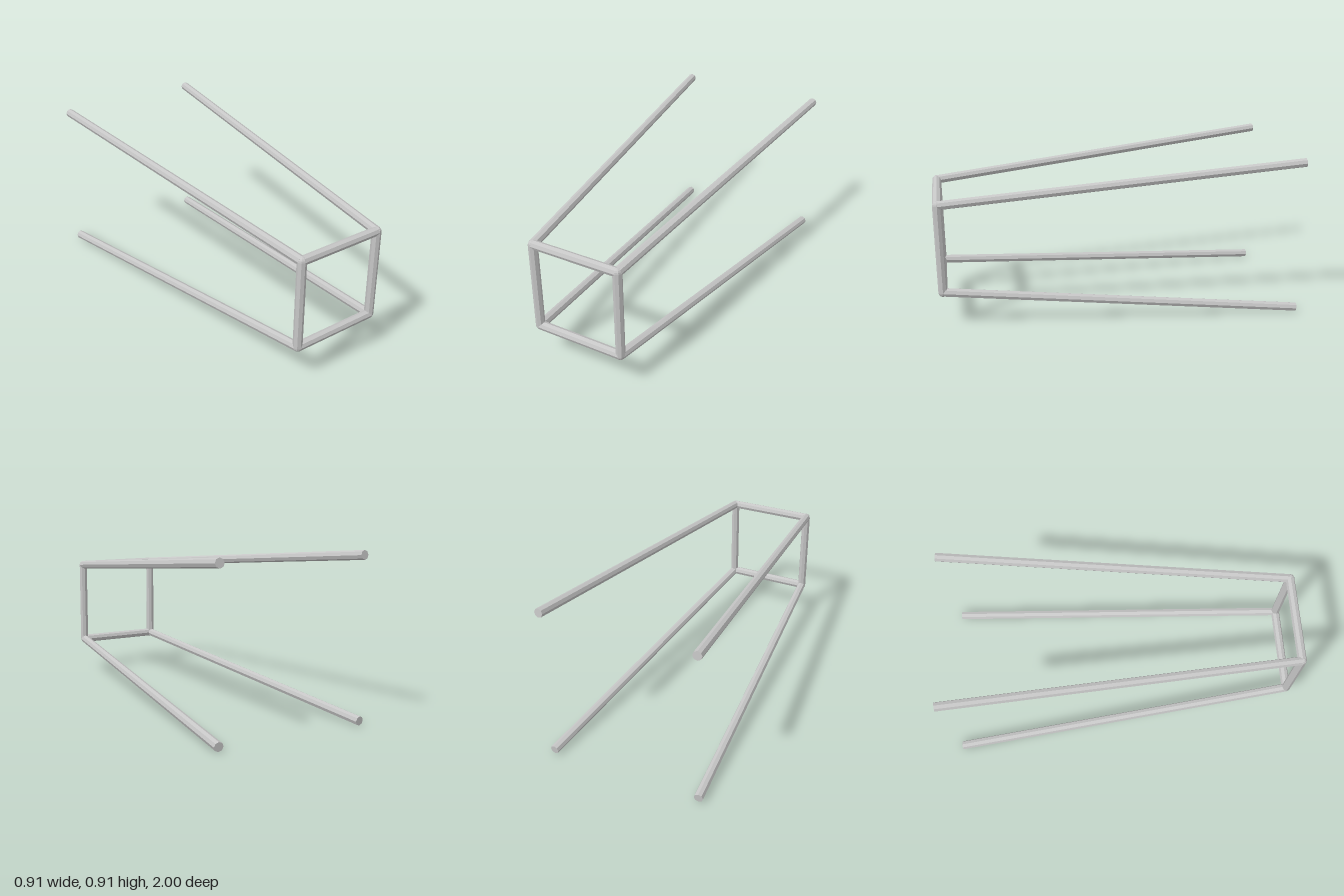
import * as THREE from 'three';

const R = 0.025;            // bar radius (octagonal section)
const FRONT = 0.975;        // z of the square frame
const INNER = 0.248;        // half side of the square frame
const OUTER = 0.428;        // half spread of the legs at the back
const CY = 0.454;           // height of the centre line

// Straight octagonal bar from a to b
function bar(name, a, b, material) {
  const g = new THREE.CylinderGeometry(R, R, a.distanceTo(b), 8);
  g.rotateX(Math.PI / 2);
  const mesh = new THREE.Mesh(g, material);
  mesh.name = name;
  mesh.position.copy(a).add(b).multiplyScalar(0.5);
  mesh.lookAt(b);
  return mesh;
}

export function createModel() {
  const model = new THREE.Group();
  model.name = 'tubeStand';
  const steel = new THREE.MeshStandardMaterial({ color: 0xc6c6c6 });
  steel.name = 'greySteel';
  steel.flatShading = true;

  // Corners in order around the square
  const signs = [[1, 1], [-1, 1], [-1, -1], [1, -1]];
  const legNames = ['upperLeftLeg', 'upperRightLeg', 'lowerRightLeg', 'lowerLeftLeg'];
  const railNames = ['topRail', 'rightRail', 'bottomRail', 'leftRail'];
  const corners = signs.map(([x, y]) => new THREE.Vector3(x * INNER, CY + y * INNER, FRONT));

  corners.forEach((corner, i) => {
    // Frame rail to the next corner
    model.add(bar(railNames[i], corner, corners[(i + 1) % 4], steel));

    // Rounded joint filling the corner
    const joint = new THREE.Mesh(new THREE.SphereGeometry(R, 8, 8), steel);
    joint.name = 'cornerJoint';
    joint.position.copy(corner);
    model.add(joint);

    // Leg splaying out towards the back
    const [x, y] = signs[i];
    const foot = new THREE.Vector3(x * OUTER, CY + y * OUTER, -0.998);
    model.add(bar(legNames[i], corner, foot, steel));
  });
  return model;
}
